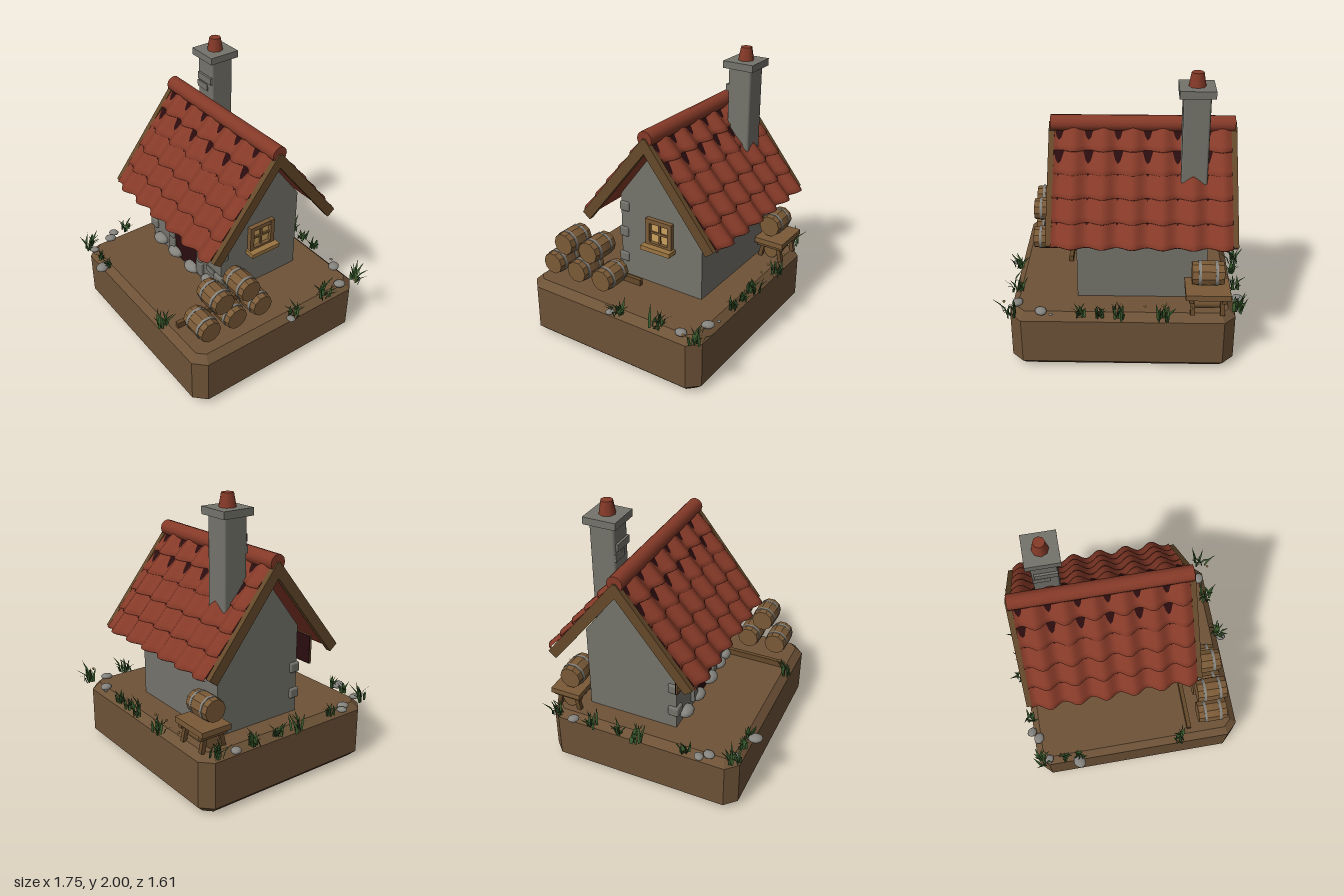
import * as THREE from 'three';
import { RoundedBoxGeometry } from 'three/addons/geometries/RoundedBoxGeometry.js';

const mat = (name, color, extra = {}) => Object.assign(new THREE.MeshStandardMaterial({ color, ...extra }), { name });

export function createModel() {
  const M = {
    earth: mat('earth', 0x6d5237),
    wood: mat('dark wood', 0x65492a),
    barrel: mat('barrel wood', 0x7a5a37),
    sill: mat('light wood', 0x9a7440),
    glow: mat('window glow', 0xc8a05c),
    tile: mat('roof tile', 0x863a28, { side: THREE.DoubleSide }),
    dark: mat('dark interior', 0x2a0c0e),
    stone: mat('wall stone', 0x74736b),
    rock: mat('rock', 0x85847f),
    grass: mat('grass', 0x35552a, { side: THREE.DoubleSide }),
  };
  const root = new THREE.Group();
  let seed = 7;
  const rnd = () => (seed = (seed * 16807) % 2147483647) / 2147483647;

  const add = (name, geo, m, x = 0, y = 0, z = 0, parent = root) => {
    const mesh = new THREE.Mesh(geo, m);
    mesh.name = name;
    mesh.position.set(x, y, z);
    parent.add(mesh);
    return mesh;
  };
  // box given by its min and max corners
  const box = (name, m, x0, x1, y0, y1, z0, z1, parent = root) =>
    add(name, new THREE.BoxGeometry(x1 - x0, y1 - y0, z1 - z0), m, (x0 + x1) / 2, (y0 + y1) / 2, (z0 + z1) / 2, parent);
  const group = (name, x = 0, y = 0, z = 0, parent = root) => {
    const g = new THREE.Group();
    g.name = name;
    g.position.set(x, y, z);
    parent.add(g);
    return g;
  };
  const poly = (pts) => new THREE.Shape(pts.map(([x, y]) => new THREE.Vector2(x, y)));

  // Ground block with chamfered edges
  const c = 0.05, w = 0.765 - c, d = 0.712 - c;
  const ground = new THREE.ExtrudeGeometry(
    poly([[-w + c, -d], [w - c, -d], [w, -d + c], [w, d - c], [w - c, d], [-w + c, d], [-w, d - c], [-w, -d + c]]),
    { depth: 0.43 - 2 * c, bevelEnabled: true, bevelSize: c, bevelThickness: c, bevelSegments: 1 });
  ground.rotateX(-Math.PI / 2);
  add('ground', ground, M.earth, 0.02, c, 0);

  // Walls with gables
  const walls = new THREE.ExtrudeGeometry(
    poly([[-0.47, 0.43], [0.2, 0.43], [0.2, 1.06], [-0.135, 1.5], [-0.47, 1.06]]), { depth: 0.885, bevelEnabled: false });
  walls.rotateY(-Math.PI / 2);
  add('walls', walls, M.stone, 0.335);

  // Door with stone jambs and arch
  const door = group('door', -0.09, 0, 0.2);
  box('doorOpening', M.dark, -0.145, 0.145, 0.45, 0.81, 0, 0.008, door);
  add('tympanum', new THREE.CircleGeometry(0.1, 16, 0, Math.PI), M.barrel, 0, 0.81, 0.006, door);
  const arch = new THREE.Shape();
  arch.absarc(0, 0, 0.145, 0, Math.PI, false);
  arch.absarc(0, 0, 0.095, Math.PI, 0, true);
  add('doorArch', new THREE.ExtrudeGeometry(arch, { depth: 0.025, bevelEnabled: false, curveSegments: 8 }), M.stone, 0, 0.81, 0, door);
  for (const s of [-1, 1]) {
    for (let i = 0; i < 3; i++) {
      add('jambStone', new RoundedBoxGeometry(i % 2 ? 0.055 : 0.075, 0.118, 0.04, 1, 0.008), M.stone, s * 0.178, 0.53 + i * 0.12, 0.005, door);
    }
  }

  // Corner stones, footing boulders and wall stones
  for (const [x, y, z] of [[-0.525, 0.57, 0.18], [-0.525, 0.76, 0.18], [0.305, 0.57, 0.18], [0.305, 0.77, 0.18], [0.305, 0.97, 0.17]])
    add('cornerStone', new RoundedBoxGeometry(0.085, 0.075, 0.08, 2, 0.015), M.stone, x, y, z);
  box('wallStone', M.stone, 0.16, 0.26, 0.56, 0.61, 0.19, 0.207);
  const boulder = (name, x, y, z, rx, ry, rz) => {
    const m = add(name, new THREE.IcosahedronGeometry(1, 1), M.rock, x, y, z);
    m.scale.set(rx, ry, rz);
    m.rotation.y = rnd() * 6;
    return m;
  };
  for (const [x, r] of [[-0.42, 0.07], [-0.22, 0.07], [0, 0.075], [0.19, 0.06], [0.31, 0.05]])
    boulder('footingStone', x, 0.487, 0.215, r, 0.04, r * 0.8).rotation.y = 0;

  // Gable window with four panes
  const win = group('window', 0.335, 0.84, -0.135);
  box('windowPanes', M.glow, 0, 0.008, -0.09, 0.09, -0.08, 0.08, win);
  for (const s of [-1, 1]) {
    box('windowSide', M.barrel, 0, 0.035, -0.1, 0.105, s * 0.09 - 0.016, s * 0.09 + 0.016, win);
    box('windowRail', M.barrel, 0, 0.033, s * 0.088 - 0.016, s * 0.088 + 0.016, -0.1, 0.1, win);
  }
  box('windowBar', M.barrel, 0, 0.02, -0.09, 0.09, -0.008, 0.008, win);
  box('windowBar', M.barrel, 0, 0.02, -0.008, 0.008, -0.09, 0.09, win);
  box('windowSill', M.sill, 0, 0.08, -0.12, -0.088, -0.12, 0.12, win);

  // Hanging board and lantern beneath the front eave
  box('hangingBoard', M.barrel, -0.64, -0.45, 0.8, 1.0, 0.238, 0.25);
  box('hangingBoardBack', M.dark, -0.64, -0.45, 0.8, 1.0, 0.231, 0.237);
  add('lantern', new THREE.CylinderGeometry(0.02, 0.03, 0.07, 8), M.tile, -0.535, 0.855, 0.268);

  // One row of tiles as a rippled sheet that rises toward its lower edge
  const halfX = 0.59;
  const tileRow = (u0, u1, h0, h1) => {
    const nx = 72, nu = 5;
    const geo = new THREE.PlaneGeometry(2 * halfX, u1 - u0, nx, nu + 1).rotateX(-Math.PI / 2);
    const p = geo.attributes.position;
    for (let i = 0; i < p.count; i++) {
      const row = Math.floor(i / (nx + 1)), t = Math.min(row / nu, 1), x = p.getX(i);
      const wave = Math.cos((x + 0.26) / 0.197 * Math.PI * 2);
      const lip = row > nu ? 0.022 : 0;
      p.setY(i, h0 + (h1 - h0) * t + 0.02 * wave - lip);
      p.setZ(i, u0 + (u1 - u0) * t + 0.012 * wave * t);
    }
    geo.computeVertexNormals();
    return geo;
  };

  // Roof: two mirrored slopes, local z runs down the slope
  const roof = group('roof', -0.105, 1.585, -0.135);
  for (const turn of [0, Math.PI]) {
    const side = group('roofSide', 0, 0, 0, roof);
    side.rotation.y = turn;
    const slope = group('roofSlope', 0, 0, 0, side);
    slope.rotation.x = 0.898;
    box('roofDeck', M.dark, -0.59, 0.59, -0.025, 0, 0, 0.83, slope);
    box('roofLining', M.tile, -0.59, 0.59, -0.035, -0.026, 0, 0.83, slope);
    for (let i = 0; i < 5; i++) {
      const early = i < 2;
      add('tileRow', tileRow(0.02 + 0.163 * i, 0.2 + 0.163 * i, early ? 0.008 : 0.018, early ? 0.028 : 0.032), M.tile, 0, 0, 0, slope);
    }
    for (const s of [-1, 1])
      box('bargeBoard', M.wood, s * 0.607 - 0.019, s * 0.607 + 0.019, -0.06, 0.012, 0, 0.835, slope);
  }
  const ridge = new THREE.CylinderGeometry(0.056, 0.056, 1.23, 12).rotateZ(Math.PI / 2);
  add('ridgeTile', ridge, M.tile, 0, 0, 0, roof);

  // Chimney
  const chimney = group('chimney', -0.445, 0, -0.315);
  add('chimneyStack', new RoundedBoxGeometry(0.175, 0.78, 0.175, 1, 0.015), M.stone, 0, 1.48, 0, chimney);
  box('chimneyCap', M.stone, -0.115, 0.115, 1.86, 1.91, -0.115, 0.115, chimney);
  add('chimneyPot', new THREE.CylinderGeometry(0.04, 0.056, 0.09, 8), M.tile, 0, 1.955, 0, chimney);
  box('chimneyStone', M.stone, -0.07, 0.085, 1.69, 1.74, 0.07, 0.103, chimney);
  box('chimneyStone', M.stone, -0.085, 0.03, 1.62, 1.67, 0.07, 0.095, chimney);

  // Barrels lying along x
  const barrelGeo = new THREE.LatheGeometry(
    [[0, -0.107], [0.078, -0.107], [0.085, -0.045], [0.087, 0], [0.085, 0.045], [0.078, 0.107], [0, 0.107]]
      .map(([r, y]) => new THREE.Vector2(r, y)), 10).rotateZ(Math.PI / 2);
  const body = barrelGeo.toNonIndexed();
  body.computeVertexNormals();
  const hoopGeo = new THREE.CylinderGeometry(0.087, 0.087, 0.018, 10, 1).rotateZ(Math.PI / 2);
  const barrel = (x, y, z) => {
    const g = group('barrel', x, y, z);
    add('barrelBody', body, M.barrel, 0, 0, 0, g);
    for (const s of [-1, 1]) add('barrelHoop', hoopGeo, M.rock, s * 0.056, 0, 0, g);
  };
  for (const z of [0.545, 0.33, 0.115]) barrel(0.593, 0.56, z);
  for (const z of [0.435, 0.22]) barrel(0.593, 0.745, z);
  box('barrelRail', M.wood, 0.4, 0.43, 0.43, 0.475, -0.02, 0.63);

  // Bench with a barrel behind the house
  barrel(-0.55, 0.685, -0.565);
  box('benchTop', M.barrel, -0.7, -0.4, 0.55, 0.59, -0.7, -0.475);
  for (const x of [-0.66, -0.44]) box('benchRail', M.wood, x - 0.015, x + 0.015, 0.52, 0.55, -0.69, -0.485);
  for (const x of [-0.65, -0.45]) for (const s of [-1, 1]) {
    const leg = box('benchLeg', M.wood, x - 0.015, x + 0.015, 0.42, 0.56, -0.6, -0.57);
    leg.position.z = -0.587 + s * 0.07;
    leg.rotation.x = -s * 0.2;
  }
  add('benchLog', new THREE.CylinderGeometry(0.055, 0.055, 0.2, 10).rotateZ(Math.PI / 2), M.barrel, -0.55, 0.485, -0.585);

  // Grass tufts made of bent, tapering blades
  const tuft = (x, z, size) => {
    const pos = [], idx = [];
    for (let b = 0; b < 13; b++) {
      const a = rnd() * Math.PI * 2, h = size * (0.55 + rnd() * 0.6), lean = size * (0.15 + rnd() * 0.45);
      const bx = (rnd() - 0.5) * size * 0.5, bz = (rnd() - 0.5) * size * 0.5, n = pos.length / 3;
      for (const [t, wd] of [[0, 0.008], [0.5, 0.009], [1, 0.0005]]) {
        const out = lean * t * t;
        for (const s of [-1, 1])
          pos.push(bx + Math.cos(a) * out - s * Math.sin(a) * wd, h * (t - 0.2 * t * t), bz + Math.sin(a) * out + s * Math.cos(a) * wd);
      }
      for (const k of [n, n + 2]) idx.push(k, k + 1, k + 2, k + 1, k + 3, k + 2);
    }
    const geo = new THREE.BufferGeometry();
    geo.setAttribute('position', new THREE.Float32BufferAttribute(pos, 3));
    geo.setIndex(idx);
    geo.computeVertexNormals();
    add('grassTuft', geo, M.grass, x, 0.42, z);
  };
  for (const [x, z, s] of [
    [-0.76, -0.63, 0.15], [-0.77, -0.34, 0.12], [-0.76, -0.14, 0.1], [-0.79, 0.01, 0.14], [-0.75, 0.35, 0.1],
    [-0.7, 0.69, 0.14], [-0.55, 0.69, 0.09], [-0.43, 0.69, 0.1], [0.34, 0.7, 0.13], [0.05, -0.72, 0.15],
    [-0.25, -0.74, 0.13], [0.17, -0.71, 0.1], [0.3, -0.7, 0.1], [0.78, -0.7, 0.15], [0.76, -0.39, 0.15], [0.79, -0.1, 0.13],
  ]) tuft(x, z, s);

  // Rocks and small flowers around the rim
  for (const [x, z, r] of [
    [-0.77, -0.49, 0.042], [-0.755, 0.455, 0.038], [-0.71, 0.51, 0.043], [-0.655, 0.68, 0.035],
    [-0.435, 0.735, 0.052], [0.57, -0.67, 0.046], [0.74, -0.57, 0.044], [0.81, -0.05, 0.034], [0.5, -0.71, 0.014],
  ]) boulder('rock', x, 0.437, z, r, r * 0.5, r * 0.85);
  for (const [x, z] of [[-0.44, -0.7], [-0.25, -0.67], [-0.13, -0.68], [0.82, -0.64]])
    add('flower', new THREE.IcosahedronGeometry(0.011, 0), M.glow, x, 0.49, z);

  return root;
}
